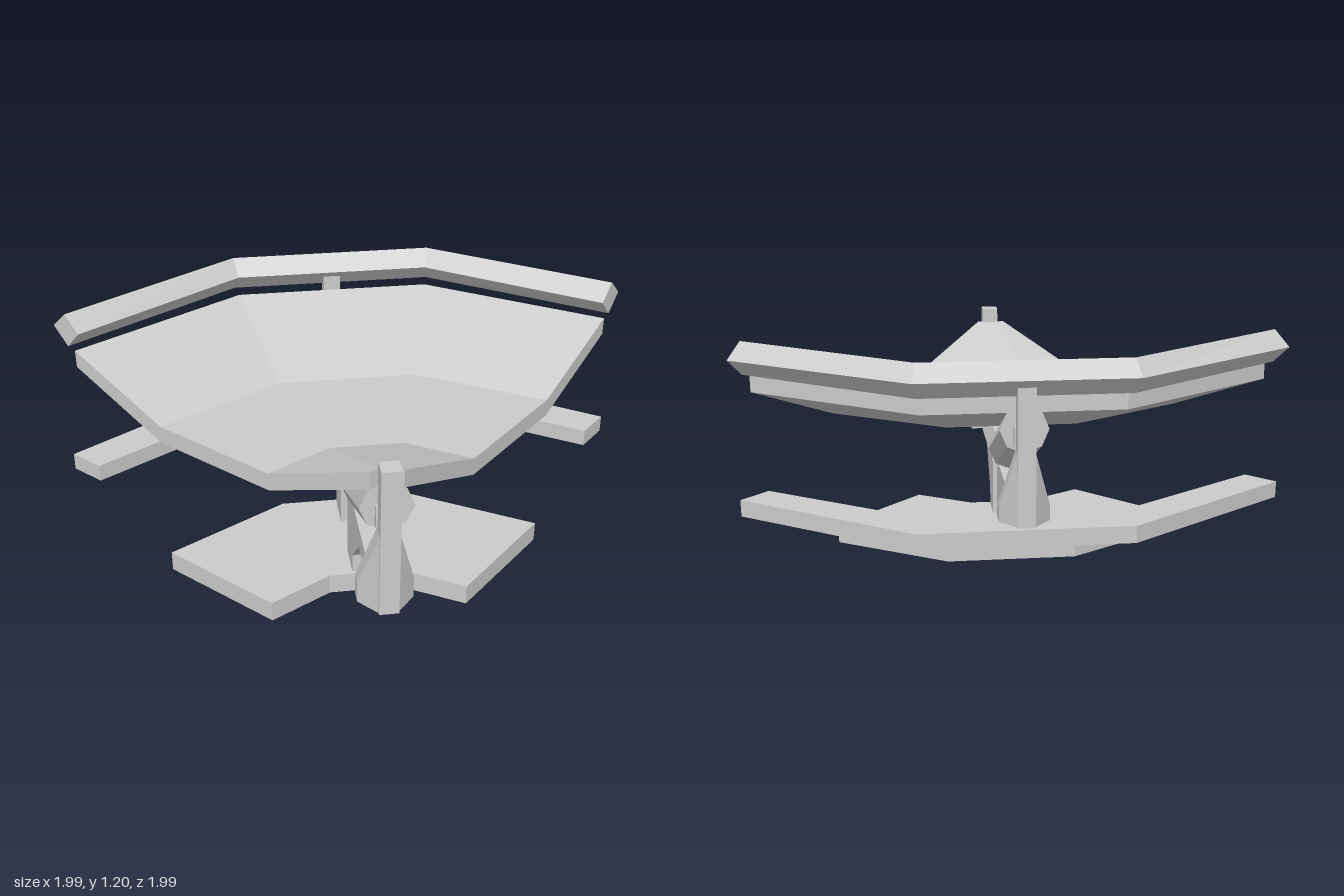
import * as THREE from 'three';
import { ConvexGeometry } from 'three/addons/geometries/ConvexGeometry.js';

const CORNER = 0.94;   // axis of the quarter turn is at (-CORNER, +CORNER)
const SPAN = 1.852;    // distance between the two end posts along the diagonal

const mat = new THREE.MeshStandardMaterial({ color: 0xcccccc, flatShading: true });

function add(parent, name, geometry) {
  const mesh = new THREE.Mesh(geometry, mat);
  mesh.name = name;
  parent.add(mesh);
  return mesh;
}

// Joins equal rings of points into a closed solid; flat holds the 2D outline for the caps
function loft(rings, flat) {
  const pos = [];
  const tri = (a, b, c) => [a, b, c].forEach(p => pos.push(p.x, p.y, p.z));
  const n = flat.length;
  for (let i = 0; i < rings.length - 1; i++) {
    for (let j = 0; j < n; j++) {
      const k = (j + 1) % n, a = rings[i], b = rings[i + 1];
      tri(a[j], b[j], b[k]);
      tri(a[j], b[k], a[k]);
    }
  }
  const last = rings[rings.length - 1];
  for (const [a, b, c] of THREE.ShapeUtils.triangulateShape(flat, [])) {
    tri(rings[0][a], rings[0][b], rings[0][c]);
    tri(last[a], last[c], last[b]);
  }
  const g = new THREE.BufferGeometry();
  g.setAttribute('position', new THREE.Float32BufferAttribute(pos, 3));
  g.computeVertexNormals();
  return g;
}

// Quarter turn in three facets; profile rows are [radius at ends, radius at corners, y]
function quarter(profile) {
  const rings = [0, 30, 60, 90].map(deg => {
    const a = THREE.MathUtils.degToRad(deg);
    const atEnd = deg % 90 === 0;
    return profile.map(([re, rc, y]) => {
      const r = atEnd ? re : rc;
      return new THREE.Vector3(-CORNER + r * Math.cos(a), y, CORNER - r * Math.sin(a));
    });
  });
  return loft(rings, profile.map(([r, , y]) => new THREE.Vector2(r, y)));
}

// Octagonal tube under the trough, path given as [distance, height]
function cradle() {
  const R = 0.115;
  const flat = [];
  for (let i = 0; i < 8; i++) {
    const a = i * Math.PI / 4;
    flat.push(new THREE.Vector2(R * Math.cos(a), R * Math.sin(a)));
  }
  const path = [[0.06, 0.86], [0.636, 0.6], [SPAN - 0.636, 0.6], [SPAN - 0.06, 0.86]];
  return loft(path.map(([s, y]) => flat.map(p => new THREE.Vector3(s, y + p.y, p.x))), flat);
}

// One half of the frame: bracket, post, buttress and pivot block
function halfFrame() {
  const half = new THREE.Group();
  half.name = 'halfFrame';

  const outline = [[0.636, 0.1], [0.806, 0.1], [0.806, 0.4], [0.75, 0.49],
    [0.1, 0.49], [0.1, 0.39], [0.44, 0.39], [0.636, 0.195]];
  const bracket = new THREE.ExtrudeGeometry(
    new THREE.Shape(outline.map(p => new THREE.Vector2(...p))),
    { depth: 0.115, bevelEnabled: false });
  add(half, 'bracket', bracket.translate(0, 0, -0.0575));

  add(half, 'post', new THREE.BoxGeometry(0.08, 0.7, 0.085)).position.set(0, 0.74, 0);

  const points = [];
  for (const side of [-1, 1]) {
    for (const y of [0.39, 0.49]) {
      points.push(new THREE.Vector3(0.12, y, side * 0.12),
        new THREE.Vector3(0.06, y, side * 0.12),
        new THREE.Vector3(-0.03, y, side * 0.04));
    }
    points.push(new THREE.Vector3(0.045, 0.78, side * 0.04),
      new THREE.Vector3(-0.03, 0.78, side * 0.04));
  }
  add(half, 'buttress', new ConvexGeometry(points));

  add(half, 'pivotBlock', new THREE.BoxGeometry(0.06, 0.1, 0.1)).position.set(0.06, 0.83, 0);
  return half;
}

export function createModel() {
  const model = new THREE.Group();
  model.name = 'model';

  // Faceted quarter-turn slabs and rings
  add(model, 'base', quarter([[0.64, 0.64, 0], [1.27, 1.28, 0], [1.27, 1.28, 0.1], [0.64, 0.64, 0.1]]));
  add(model, 'lowerRing', quarter([[1.73, 1.77, 0.33], [1.91, 1.98, 0.33], [1.91, 1.98, 0.415], [1.73, 1.77, 0.415]]));
  add(model, 'trough', quarter([
    [0.1, 0.1, 0.94], [0.635, 0.64, 0.72], [1.275, 1.275, 0.72], [1.805, 1.85, 0.94],
    [1.805, 1.85, 1.025], [1.275, 1.275, 0.805], [0.635, 0.64, 0.805], [0.1, 0.1, 1.025]]));
  add(model, 'topRail', quarter([[1.85, 1.92, 1.035], [1.935, 1.99, 1.12], [1.85, 1.92, 1.2], [1.77, 1.85, 1.12]]));

  // Frame along the diagonal, its second half turned about the middle
  const frame = new THREE.Group();
  frame.name = 'frame';
  frame.position.set(-CORNER, 0, CORNER);
  frame.rotation.y = Math.PI / 4;
  add(frame, 'cradle', cradle());
  const outer = halfFrame();
  outer.position.x = SPAN;
  outer.rotation.y = Math.PI;
  frame.add(halfFrame(), outer);
  model.add(frame);

  return model;
}
